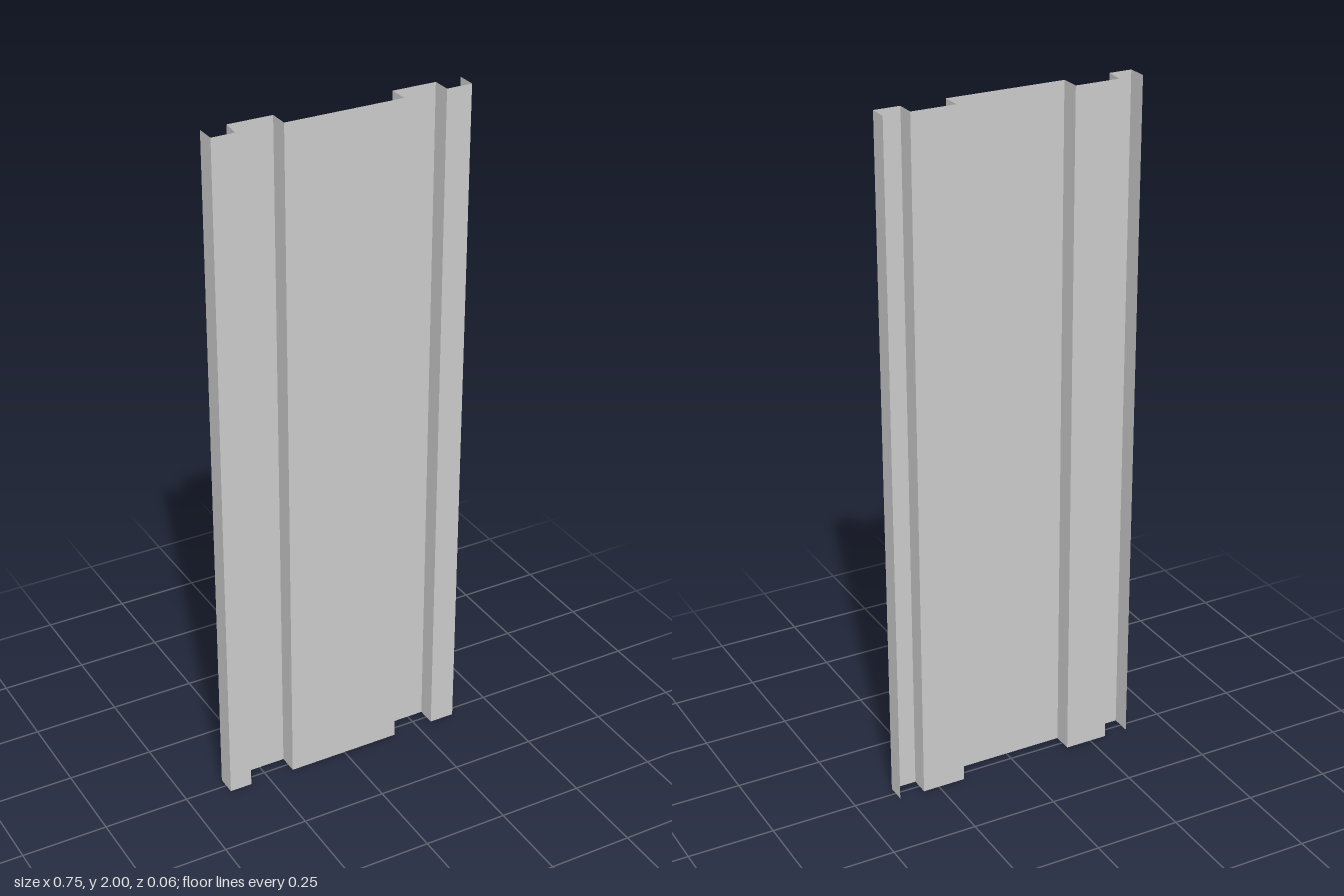
import * as THREE from 'three';

export function createModel() {
  const group = new THREE.Group();
  group.name = 'corrugatedPanel';
  const height = 2;

  // Folded sheet cross-section as [x, z], from the right edge to the left edge
  const profile = [
    [-0.373, -0.029], [-0.373, 0.029],  // outer flange
    [-0.307, 0.029], [-0.301, -0.029],  // edge rib, then valley
    [-0.172, -0.029], [-0.172, 0.029],  // wide centre rib
    [0.17, 0.029], [0.17, -0.029],
    [0.298, -0.029], [0.298, 0.026],    // edge rib, slightly lower for overlap
    [0.373, 0.026], [0.373, -0.029],    // outer flange
  ];

  // One flat strip per fold, with its own corners so the edges stay sharp
  const positions = [];
  for (let i = 0; i < profile.length - 1; i++) {
    const [ax, az] = profile[i];
    const [bx, bz] = profile[i + 1];
    positions.push(ax, 0, az, bx, 0, bz, bx, height, bz);
    positions.push(ax, 0, az, bx, height, bz, ax, height, az);
  }
  const geometry = new THREE.BufferGeometry();
  geometry.setAttribute('position', new THREE.Float32BufferAttribute(positions, 3));
  geometry.computeVertexNormals();

  const sheet = new THREE.Mesh(
    geometry,
    new THREE.MeshStandardMaterial({ color: 0xcccccc, flatShading: true, side: THREE.DoubleSide })
  );
  sheet.name = 'foldedSheet';
  group.add(sheet);
  return group;
}
